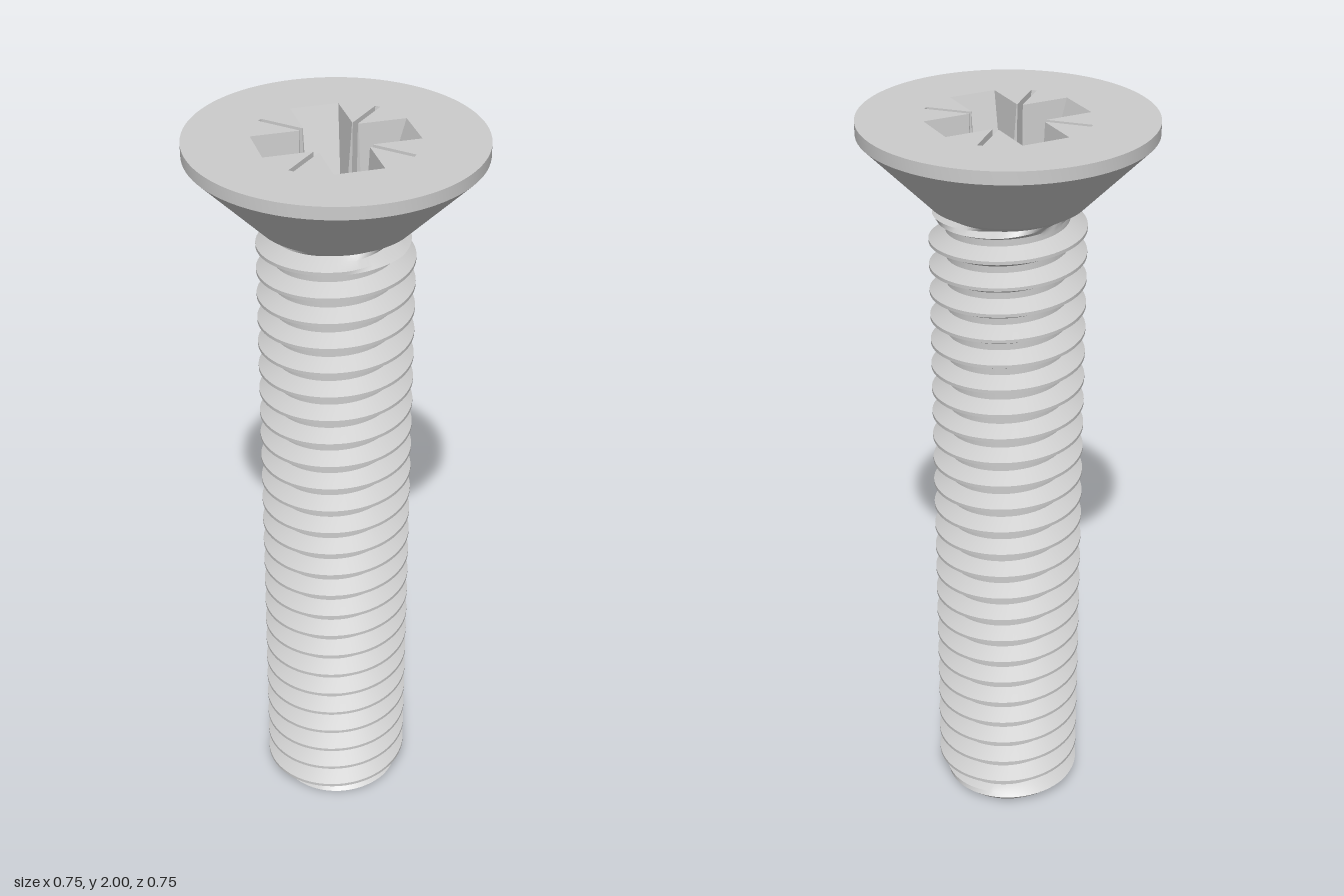
import * as THREE from 'three';
import { toCreasedNormals } from 'three/addons/utils/BufferGeometryUtils.js';

const SEGMENTS = 96;
const MAJOR = 0.2, DEPTH = 0.043, MINOR = MAJOR - DEPTH;
const PITCH = 0.07, PHASE = 0.0095;
const NECK = 1.79, HEAD_R = 0.373, RIM = 1.967, TOP = 2;
const FLOOR = 1.8, CORE_R = 0.09;

const material = new THREE.MeshStandardMaterial({ color: 0xcccccc });
const clamp = THREE.MathUtils.clamp;

function addMesh(group, name, geometry) {
  const mesh = new THREE.Mesh(geometry, material);
  mesh.name = name;
  group.add(mesh);
}

function bufferFrom(positions) {
  const geometry = new THREE.BufferGeometry();
  geometry.setAttribute('position', new THREE.Float32BufferAttribute(positions, 3));
  geometry.computeVertexNormals();
  return geometry;
}

// Radius of the threaded shank, with a bottom chamfer and a run-out below the head
function shankRadius(y, turn) {
  const f = (y - PHASE) / PITCH - turn;
  const d = Math.abs(f - Math.round(f));
  let r = MAJOR - DEPTH * clamp((d - 0.0625) / 0.3125, 0, 1);
  r = Math.min(r, MAJOR - DEPTH * clamp((y - 1.745) / 0.02, 0, 1));
  r = Math.max(r, MINOR + DEPTH * clamp((y - 1.765) / 0.025, 0, 1));
  return Math.min(r, 0.164 + y);
}

// Right-handed helical surface, its rows following the thread's edges
function threadedShank() {
  const fractions = [-0.0625, 0.0625, 0.22, 0.375, 0.5, 0.625, 0.78];
  const rows = [];
  for (let k = -2; k <= 26; k++) for (const f of fractions) rows.push(k + f);
  const point = (i, row) => {
    const turn = i / SEGMENTS, angle = (i % SEGMENTS) / SEGMENTS * Math.PI * 2;
    const y = clamp(PHASE + PITCH * (row + turn), 0, NECK);
    const r = shankRadius(y, turn);
    return [r * Math.cos(angle), y, -r * Math.sin(angle)];
  };
  const positions = [];
  for (let i = 0; i < SEGMENTS; i++) {
    for (let j = 0; j < rows.length - 1; j++) {
      const a = point(i, rows[j]), b = point(i + 1, rows[j]);
      const c = point(i + 1, rows[j + 1]), d = point(i, rows[j + 1]);
      if (b[1] !== c[1]) positions.push(...a, ...b, ...c);
      if (a[1] !== d[1]) positions.push(...a, ...c, ...d);
    }
    // Flat end
    positions.push(0, 0, 0, ...point(i + 1, -3), ...point(i, -3));
  }
  return toCreasedNormals(bufferFrom(positions), 0.45);
}

// Cross outline with a thin diagonal slot in each corner
function recessOutline(reach, halfWidth, cornerX, slotReach) {
  const slotHalf = 0.007;
  const mouth = (cornerX + halfWidth) / Math.SQRT2;
  const diagonal = (along, across) => new THREE.Vector2(
    (along - across) / Math.SQRT2, (along + across) / Math.SQRT2);
  const quarter = [
    new THREE.Vector2(reach, -halfWidth),
    new THREE.Vector2(reach, halfWidth),
    new THREE.Vector2(cornerX, halfWidth),
    diagonal(mouth, -slotHalf),
    diagonal(slotReach, -slotHalf),
    diagonal(slotReach, slotHalf),
    diagonal(mouth, slotHalf),
    new THREE.Vector2(halfWidth, cornerX),
  ];
  const outline = [];
  for (let q = 0; q < 4; q++) {
    for (const p of quarter) {
      outline.push(p.clone().rotateAround(new THREE.Vector2(), q * Math.PI / 2));
    }
  }
  return outline;
}

// Horizontal face looking up
function flatFace(shape, y) {
  return new THREE.ShapeGeometry(shape, SEGMENTS).rotateX(-Math.PI / 2).translate(0, y, 0);
}

// Tapering walls between the upper and lower outlines
function recessWalls(upper, lower) {
  const positions = [];
  const at = (p, y) => [p.x, y, -p.y];
  upper.forEach((p, i) => {
    const n = (i + 1) % upper.length;
    const a = at(p, TOP), b = at(upper[n], TOP);
    const c = at(lower[n], FLOOR), d = at(lower[i], FLOOR);
    positions.push(...a, ...b, ...d, ...b, ...c, ...d);
  });
  return bufferFrom(positions);
}

function lathe(points) {
  const profile = points.map(([r, y]) => new THREE.Vector2(r, y));
  return toCreasedNormals(new THREE.LatheGeometry(profile, SEGMENTS), 0.5);
}

export function createModel() {
  const screw = new THREE.Group();
  screw.name = 'countersunkScrew';

  addMesh(screw, 'threadedShank', threadedShank());

  // Countersunk head
  addMesh(screw, 'headCone', lathe([[MAJOR, NECK], [HEAD_R, RIM], [HEAD_R, TOP]]));
  const upper = recessOutline(0.197, 0.062, 0.075, 0.213);
  const lower = recessOutline(0.133, 0.05, 0.08, 0.185);
  const face = new THREE.Shape().absarc(0, 0, HEAD_R, 0, Math.PI * 2);
  face.holes.push(new THREE.Path(upper));
  addMesh(screw, 'headFace', flatFace(face, TOP));

  // Driver recess
  const recess = new THREE.Group();
  recess.name = 'driverRecess';
  addMesh(recess, 'recessWalls', recessWalls(upper, lower));
  const floor = new THREE.Shape(lower);
  floor.holes.push(new THREE.Path().absarc(0, 0, CORE_R, 0, Math.PI * 2));
  addMesh(recess, 'recessFloor', flatFace(floor, FLOOR));
  addMesh(recess, 'recessCone', lathe([[CORE_R, FLOOR], [0, FLOOR - 0.045]]));
  screw.add(recess);

  return screw;
}
